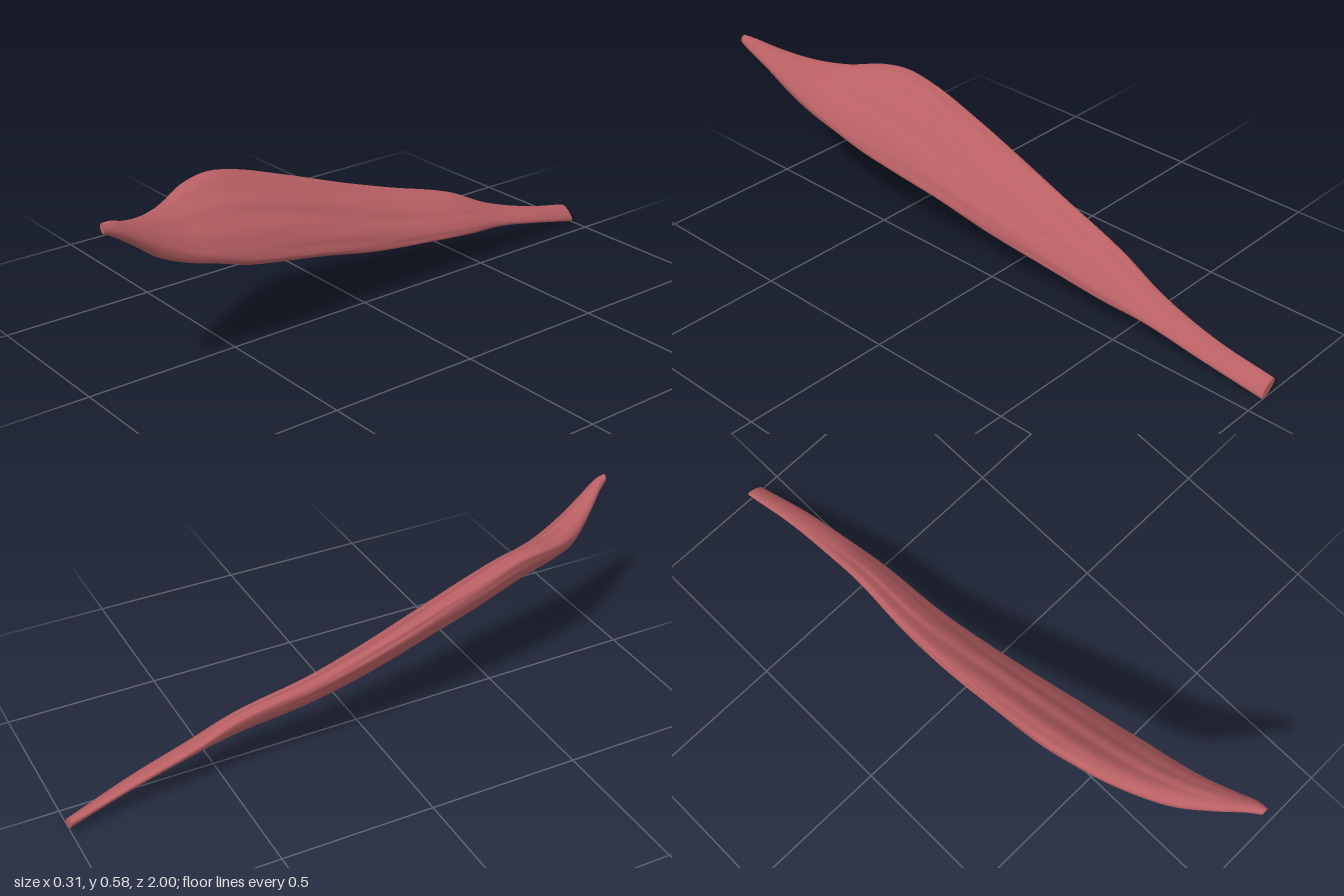
import * as THREE from 'three';

// Stations along the muscle: z, xMin, xMax, yMin, yMax, phase (small = flat tilted section)
const STATIONS = [
  [-1.0, -0.125, -0.065, 0.0, 0.05, 0.8],
  [-0.8, -0.107, -0.032, 0.055, 0.1, 0.9],
  [-0.6, -0.108, -0.012, 0.1, 0.165, 0.85],
  [-0.45, -0.118, 0.002, 0.115, 0.235, 0.75],
  [-0.2, -0.145, 0.012, 0.145, 0.305, 0.7],
  [0.0, -0.155, 0.032, 0.18, 0.37, 0.68],
  [0.2, -0.156, 0.056, 0.228, 0.44, 0.66],
  [0.4, -0.15, 0.084, 0.275, 0.508, 0.64],
  [0.5, -0.135, 0.096, 0.3, 0.53, 0.62],
  [0.6, -0.108, 0.108, 0.335, 0.524, 0.65],
  [0.7, -0.063, 0.117, 0.365, 0.506, 0.85],
  [0.8, -0.01, 0.127, 0.405, 0.513, 1.2],
  [0.9, 0.058, 0.142, 0.48, 0.542, 1.4],
  [0.97, 0.11, 0.154, 0.53, 0.573, 1.5],
  [1.0, 0.128, 0.152, 0.548, 0.578, 1.5],
];
const RINGS = 110;
const SIDES = 56;

const bump = (t, centre, width) => Math.exp(-(((t - centre) / width) ** 2));

// Lengthwise grooves and fibres, fading towards both tendons
function relief(t, z) {
  const belly = Math.max(0, 1 - ((z - 0.1) / 0.85) ** 2);
  const drift = 0.15 * Math.sin(3 * z);
  const grooves = 0.17 * bump(t, 1.25 + drift, 0.2) + 0.13 * bump(t, 2.1 - drift, 0.17)
    + 0.1 * bump(t, 4.5 + drift, 0.2);
  const fibres = 0.018 * Math.sin(9 * t + 4 * z) + 0.012 * Math.sin(14 * t - 7 * z);
  return 1 - belly * (grooves + fibres);
}

function loft() {
  const zs = STATIONS.map((s) => s[0]);
  const spline = new THREE.CubicInterpolant(zs, STATIONS.flatMap((s) => s.slice(1)), 5, new Float32Array(5));
  const positions = [];
  const index = [];
  for (let i = 0; i <= RINGS; i++) {
    const z = -1 + (2 * i) / RINGS;
    const [x0, x1, y0, y1, phase] = spline.evaluate(z);
    for (let j = 0; j < SIDES; j++) {
      const t = (j / SIDES) * Math.PI * 2;
      const r = relief(t, z);
      positions.push(
        (x0 + x1) / 2 - ((x1 - x0) / 2) * r * Math.cos(t),
        (y0 + y1) / 2 + ((y1 - y0) / 2) * r * Math.cos(t - phase),
        z,
      );
    }
  }
  for (let i = 0; i < RINGS; i++) {
    for (let j = 0; j < SIDES; j++) {
      const k = (j + 1) % SIDES;
      const a = i * SIDES + j, b = i * SIDES + k, c = a + SIDES, d = b + SIDES;
      index.push(a, c, b, b, c, d);
    }
  }
  const geometry = new THREE.BufferGeometry();
  geometry.setAttribute('position', new THREE.Float32BufferAttribute(positions, 3));
  geometry.setIndex(index);
  geometry.computeVertexNormals();
  return geometry;
}

// Flat end built from the first or last ring of the loft
function endCap(body, ring, facesFront) {
  const source = body.getAttribute('position');
  const points = [];
  const centre = new THREE.Vector3();
  for (let j = 0; j < SIDES; j++) {
    const p = new THREE.Vector3().fromBufferAttribute(source, ring * SIDES + j);
    points.push(p);
    centre.addScaledVector(p, 1 / SIDES);
  }
  const index = [];
  for (let j = 0; j < SIDES; j++) {
    const k = (j + 1) % SIDES;
    index.push(SIDES, facesFront ? k : j, facesFront ? j : k);
  }
  const geometry = new THREE.BufferGeometry().setFromPoints([...points, centre]);
  geometry.setIndex(index);
  geometry.computeVertexNormals();
  return geometry;
}

export function createModel() {
  const muscleRed = new THREE.MeshStandardMaterial({ color: 0xb96064 });
  muscleRed.name = 'muscleRed';
  const group = new THREE.Group();
  group.name = 'muscle';
  const add = (name, geometry) => {
    const mesh = new THREE.Mesh(geometry, muscleRed);
    mesh.name = name;
    group.add(mesh);
  };
  const body = loft();
  add('muscleBelly', body);
  add('tailTendonEnd', endCap(body, 0, false));
  add('frontTendonEnd', endCap(body, RINGS, true));
  return group;
}
